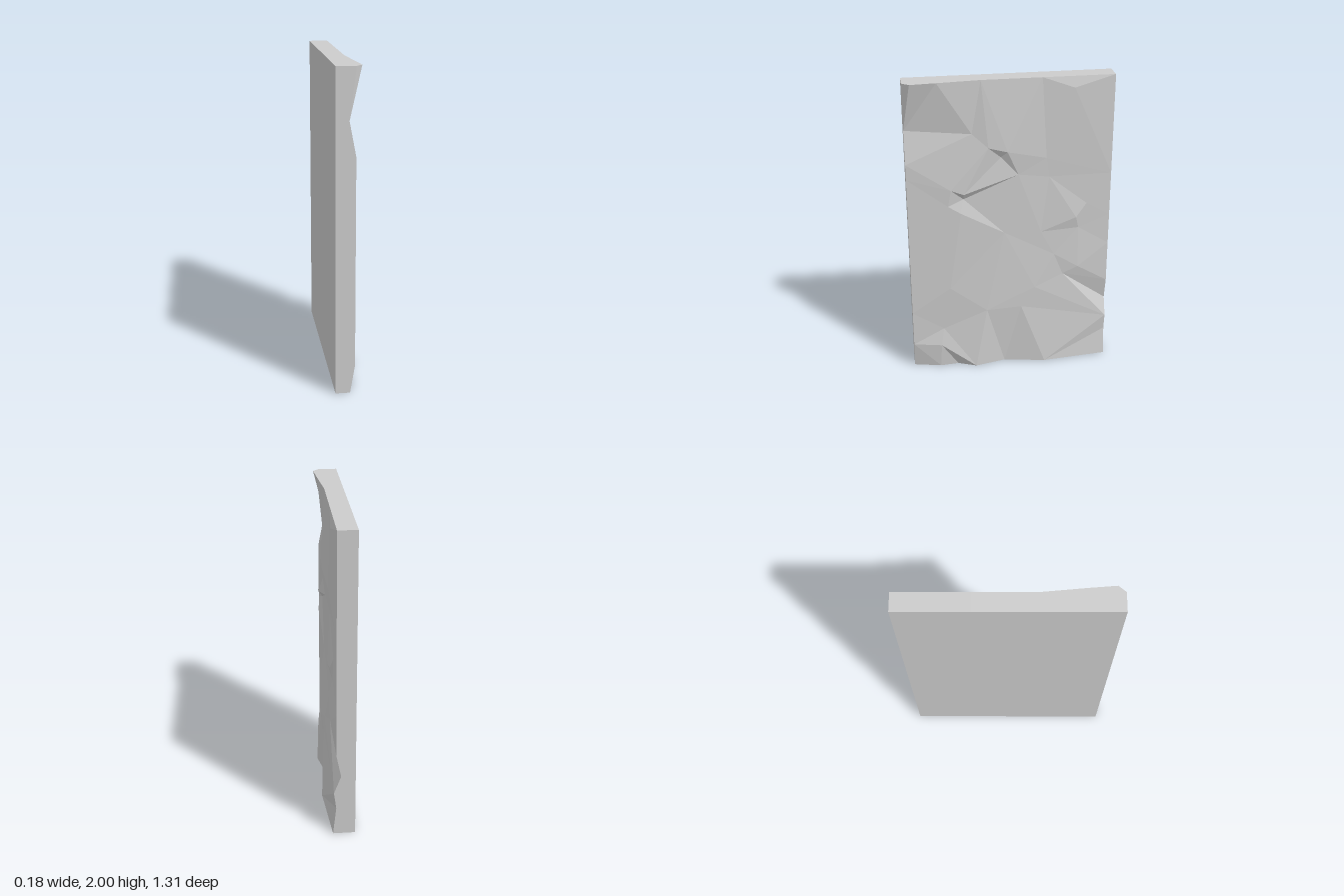
import * as THREE from 'three';

const BACK = -0.09, Z = 0.655, H = 2;

// Rim of the rough face as [z, y, x], counter-clockwise seen from +x.
const bottomRim = [[Z, 0.0], [0.48, 0.04], [0.36, 0.03], [0.24, 0.08], [0.04, 0.035], [-0.23, 0.085]]
  .map(([z, x]) => [z, 0, x]);
const rearRim = [[0, 0.05], [0.19, 0.03], [0.3, 0.045], [0.42, 0.0], [0.57, 0.03], [0.85, 0.03], [1.06, 0.03], [1.35, 0.03]]
  .map(([y, x]) => [-Z, y, x]);
const topRim = [[-Z, 0.03], [-0.2, 0.03], [0.18, 0.03], [0.45, 0.055], [0.61, 0.068]]
  .map(([z, x]) => [z, H, x]);
const frontRim = [[H, 0.03], [1.69, -0.01], [1.48, 0.03], [1.38, 0.03], [0.94, 0.03], [0.42, 0.03], [0.18, 0.03]]
  .map(([y, x]) => [Z, y, x]);
const rim = [...bottomRim, ...rearRim, ...topRim, ...frontRim];

// Chiselled high and low points inside the rough face, [z, y, x].
const chips = [
  [0.24, 1.66, 0.03], [0.14, 1.57, 0.055], [0.06, 1.5, 0.035], [0.02, 1.54, 0.062],
  [-0.4, 1.93, 0.045], [-0.23, 1.48, 0.04], [-0.25, 1.35, 0.035], [-0.5, 1.15, 0.035],
  [-0.43, 1.06, 0.05], [-0.45, 0.98, 0.035], [-0.2, 0.97, 0.045], [0.04, 0.98, 0.045],
  [0.4, 1.19, 0.05], [0.3, 1.23, 0.035], [0.38, 1.3, 0.055], [0.3, 1.27, 0.062],
  [0.32, 1.14, 0.058], [-0.05, 1.38, 0.045], [0.4, 0.6, 0.05], [0.45, 0.29, 0.035],
  [0.16, 0.42, 0.06], [0.47, 0.17, 0.055], [-0.07, 0.43, 0.06], [-0.16, 0.57, 0.06],
  [-0.35, 0.65, 0.042], [-0.45, 0.7, 0.05], [-0.29, 0.8, 0.045],
];

// Delaunay triangulation in the (-z, y) plane: keep triangles with an empty circumcircle.
function triangulate(points) {
  const p = points.map(([z, y]) => [-z, y]);
  const tris = [];
  const n = p.length;
  for (let i = 0; i < n; i++) for (let j = i + 1; j < n; j++) for (let k = j + 1; k < n; k++) {
    const [ax, ay] = p[i];
    const bx = p[j][0] - ax, by = p[j][1] - ay;
    const cx = p[k][0] - ax, cy = p[k][1] - ay;
    const d = 2 * (bx * cy - by * cx);
    if (Math.abs(d) < 1e-7) continue;
    const b2 = bx * bx + by * by, c2 = cx * cx + cy * cy;
    const ux = (cy * b2 - by * c2) / d, uy = (bx * c2 - cx * b2) / d;
    const r2 = ux * ux + uy * uy;
    const empty = p.every(([x, y], m) => m === i || m === j || m === k ||
      (x - ax - ux) ** 2 + (y - ay - uy) ** 2 > r2 - 1e-9);
    if (empty) tris.push(d > 0 ? [i, j, k] : [i, k, j]);
  }
  return tris;
}

function facetMesh(name, corners, material) {
  const geometry = new THREE.BufferGeometry();
  const xyz = corners.flatMap(([z, y, x]) => [x, y, z]);
  geometry.setAttribute('position', new THREE.Float32BufferAttribute(xyz, 3));
  geometry.computeVertexNormals();
  const mesh = new THREE.Mesh(geometry, material);
  mesh.name = name;
  return mesh;
}

export function createModel() {
  const group = new THREE.Group();
  group.name = 'roughStoneSlab';
  const stone = new THREE.MeshStandardMaterial({ color: 0xcccccc, flatShading: true });

  // Faceted stone face towards +x
  const points = [...rim, ...chips];
  const face = triangulate(points).flatMap((t) => t.map((i) => points[i]));
  group.add(facetMesh('roughFace', face, stone));

  // Four narrow sides, from the uneven rim to the flat back
  const sides = rim.flatMap((a, i) => {
    const b = rim[(i + 1) % rim.length];
    const a0 = [a[0], a[1], BACK], b0 = [b[0], b[1], BACK];
    return [a, a0, b0, a, b0, b];
  });
  group.add(facetMesh('slabSides', sides, stone));

  // Flat back
  const back = new THREE.Mesh(new THREE.PlaneGeometry(2 * Z, H), stone);
  back.rotation.y = -Math.PI / 2;
  back.position.set(BACK, H / 2, 0);
  back.name = 'flatBack';
  group.add(back);

  return group;
}
